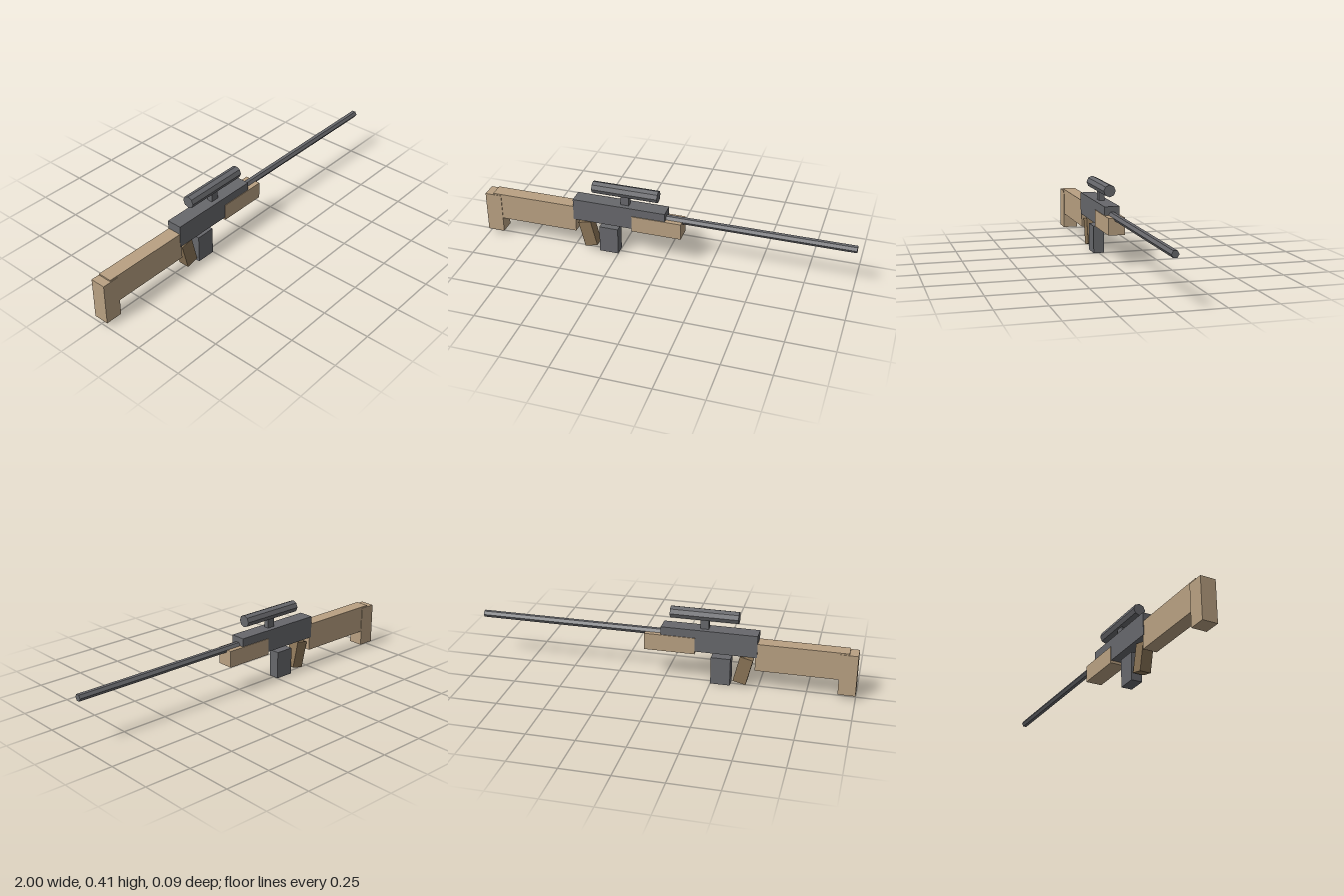
import * as THREE from 'three';

const mat = (name, color) => {
  const m = new THREE.MeshStandardMaterial({ color });
  m.name = name;
  return m;
};

export function createModel() {
  const tan = mat('tan furniture', 0xb9a182);
  const brown = mat('brown grip', 0x8b7557);
  const grey = mat('gunmetal grey', 0x67686c);
  const model = new THREE.Group();
  model.name = 'rifle';

  const add = (name, geometry, material, x, y) => {
    const mesh = new THREE.Mesh(geometry, material);
    mesh.name = name;
    mesh.position.set(x, y, 0);
    model.add(mesh);
    return mesh;
  };
  // Box given by its x range, y range and depth
  const box = (name, material, x0, x1, y0, y1, depth) =>
    add(name, new THREE.BoxGeometry(x1 - x0, y1 - y0, depth), material, (x0 + x1) / 2, (y0 + y1) / 2);
  // Faceted rod along x with a corner pointing up
  const rod = (name, material, x0, x1, y, radius, sides) => {
    const g = new THREE.CylinderGeometry(radius, radius, x1 - x0, sides).toNonIndexed();
    g.computeVertexNormals();
    g.rotateZ(-Math.PI / 2);
    // the seam corner already lies in the xy or xz plane; turn it to the top
    if (sides % 4) g.rotateX(Math.PI / 2);
    return add(name, g, material, (x0 + x1) / 2, y);
  };

  // Shoulder stock and butt
  box('stock', tan, -0.955, -0.483, 0.107, 0.256, 0.075);
  box('buttPlate', tan, -1, -0.91, 0.025, 0.248, 0.081);

  // Receiver, fore-end and barrel
  box('receiver', grey, -0.493, 0.012, 0.18, 0.301, 0.081);
  box('foreEnd', tan, -0.168, 0.1, 0.166, 0.256, 0.088);
  const barrel = rod('barrel', grey, 0, 1, 0.256, 0.0188, 6);
  barrel.rotation.x = Math.PI / 2;

  // Magazine and slanted pistol grip
  box('magazine', grey, -0.354, -0.251, 0, 0.15, 0.059);
  const grip = box('grip', brown, -0.455, -0.385, 0.02, 0.166, 0.059);
  grip.rotation.z = 0.24;

  // Scope on its mount
  box('scopeMount', grey, -0.235, -0.191, 0.295, 0.355, 0.029);
  rod('scope', grey, -0.39, -0.033, 0.375, 0.0325, 8);

  return model;
}
